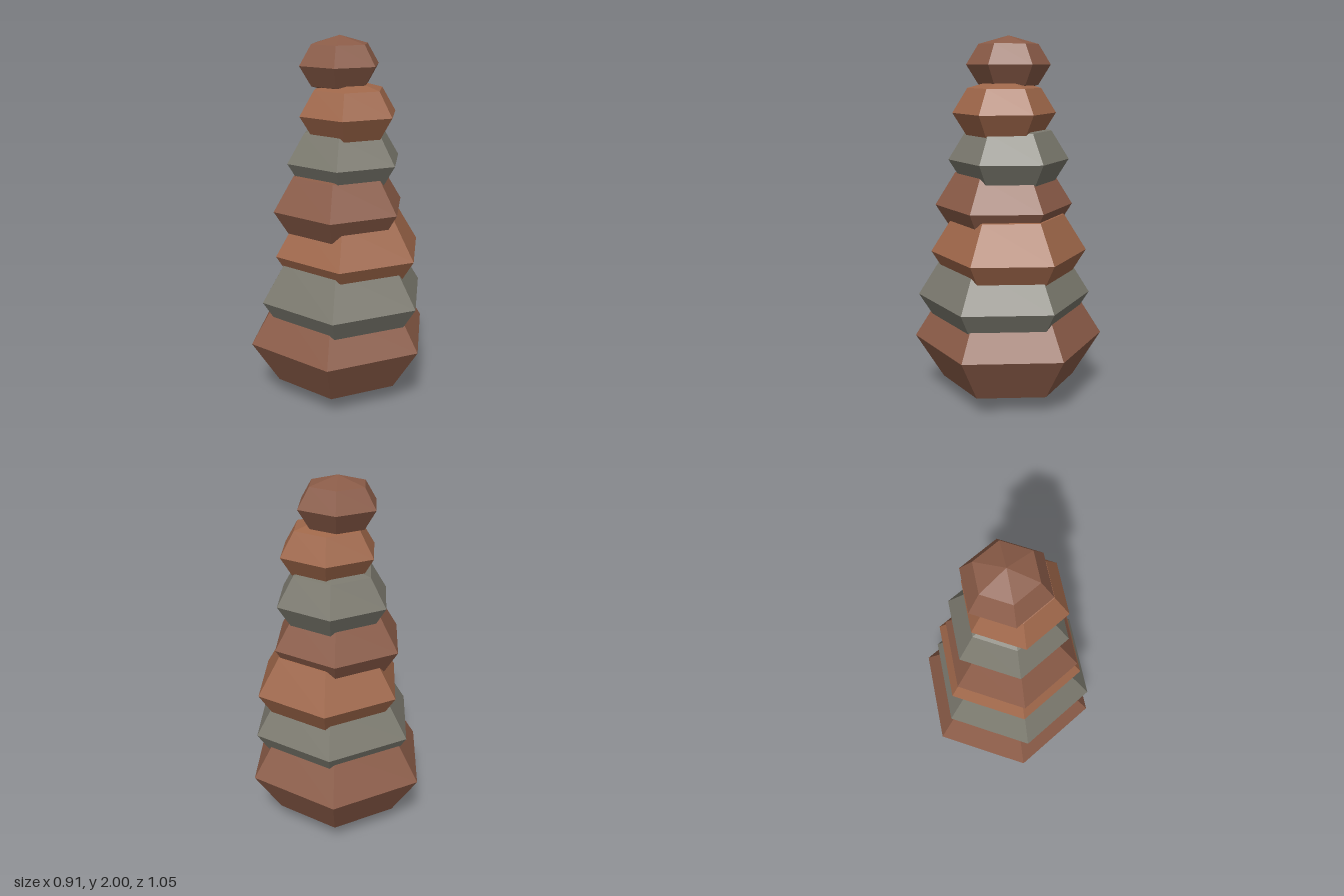
import * as THREE from 'three';

export function createModel() {
  const group = new THREE.Group();
  group.name = 'stackedStones';

  // Three stone colours repeat up the stack
  const materials = [0x8b5c48, 0x7b796e, 0x9f674a].map(
    (color) => new THREE.MeshStandardMaterial({ color, flatShading: true })
  );

  // Each stone is a squashed six-sided sphere with a corner towards the front
  const stone = new THREE.SphereGeometry(1, 6, 4).rotateY(Math.PI / 2);

  // Stones shrink upwards and are nudged off-centre in a repeating pattern
  for (let i = 0; i < 7; i++) {
    const radius = 0.525 - i * 0.05;
    const mesh = new THREE.Mesh(stone, materials[i % 3]);
    mesh.name = i === 0 ? 'baseStone' : i === 6 ? 'topStone' : `stone${i + 1}`;
    mesh.scale.set(radius, radius * 2 / 3, radius);
    mesh.position.set((i % 3) * 0.025, 0.35 + i * 0.25, (i % 2) * 0.025);
    group.add(mesh);
  }

  return group;
}
